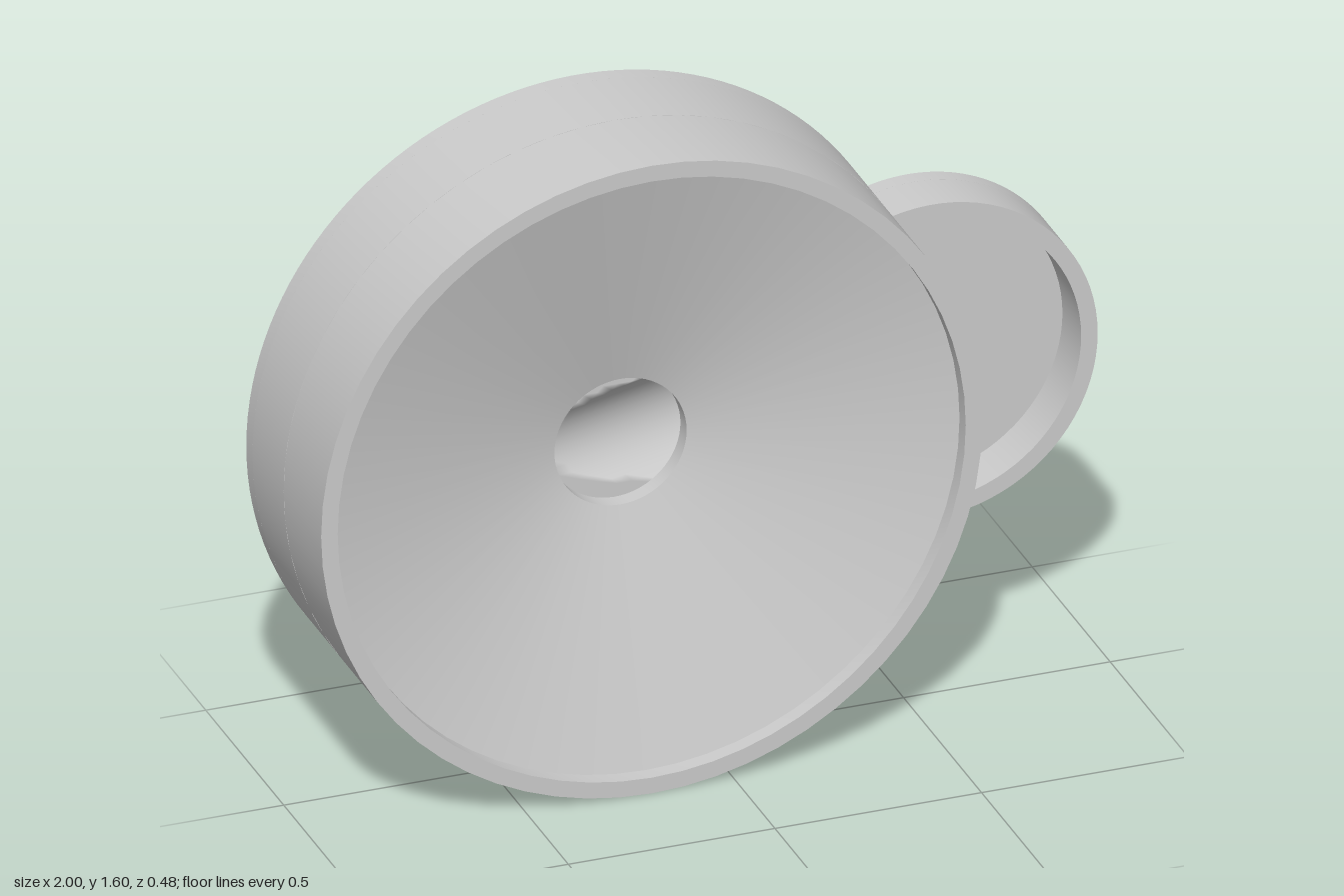
import * as THREE from 'three';
import { toCreasedNormals } from 'three/addons/utils/BufferGeometryUtils.js';
import { ParametricGeometry } from 'three/addons/geometries/ParametricGeometry.js';

const CY = 0.8;                       // height of all the centres
const BOWL = { x: -0.2, r: 0.8 };     // big round body
const TRAY = { x: 0.6, r: 0.4 };      // small round tray
const CAVITY = 0.36;                  // inner radius of the tray
const HOLE = 0.16;                    // radius of the funnel outlet

export function createModel() {
  const group = new THREE.Group();
  const grey = new THREE.MeshStandardMaterial({ color: 0xcccccc });
  const greyDouble = new THREE.MeshStandardMaterial({ color: 0xcccccc, side: THREE.DoubleSide });

  const add = (name, geometry, material = grey) => {
    const mesh = new THREE.Mesh(geometry, material);
    mesh.name = name;
    group.add(mesh);
  };
  const slab = (name, shape, z0, z1, curveSegments) => {
    const g = new THREE.ExtrudeGeometry(shape, { depth: z1 - z0, bevelEnabled: false, curveSegments });
    add(name, toCreasedNormals(g.translate(0, 0, z0), 0.5));
  };
  // Angles, seen from each centre, at which a tray circle of radius r crosses the bowl
  const crossing = (r) => {
    const d = TRAY.x - BOWL.x;
    const along = (d * d + BOWL.r ** 2 - r * r) / (2 * d);
    return { bowl: Math.acos(along / BOWL.r), tray: Math.acos((along - d) / r) };
  };
  const outer = crossing(TRAY.r);
  const inner = crossing(CAVITY);

  // Back plate: joined outline of bowl and tray
  const plate = new THREE.Shape();
  plate.absarc(BOWL.x, CY, BOWL.r, outer.bowl, 2 * Math.PI - outer.bowl, false);
  plate.absarc(TRAY.x, CY, TRAY.r, -outer.tray, outer.tray, false);
  slab('backPlate', plate, -0.24, -0.2, 56);

  // Lower body: disc with the tray cavity and the outlet channel cut out
  const mouth = Math.asin(HOLE / CAVITY);
  const body = new THREE.Shape();
  body.absarc(BOWL.x, CY, BOWL.r, inner.bowl, 2 * Math.PI - inner.bowl, false);
  body.absarc(TRAY.x, CY, CAVITY, 2 * Math.PI - inner.tray, Math.PI + mouth, true);
  body.absarc(BOWL.x, CY, HOLE, -Math.PI / 2, Math.PI / 2, true);
  body.absarc(TRAY.x, CY, CAVITY, Math.PI - mouth, inner.tray, true);
  slab('lowerBody', body, -0.2, 0, 56);

  // Raised rim around the tray
  const rim = new THREE.Shape();
  rim.absarc(TRAY.x, CY, TRAY.r, -outer.tray, outer.tray, false);
  rim.absarc(TRAY.x, CY, CAVITY, inner.tray, -inner.tray, true);
  slab('trayRim', rim, -0.2, -0.08, 24);

  // Funnel: rim, short inner wall, cone and outlet lip
  const profile = [
    [HOLE, 0], [0.8, 0], [0.8, 0.24], [0.76, 0.24], [0.76, 0.2], [HOLE, 0.04], [HOLE, 0],
  ].map(([r, z]) => new THREE.Vector2(r, z));
  const funnel = new THREE.LatheGeometry(profile, 64);
  funnel.rotateX(Math.PI / 2).translate(BOWL.x, CY, 0);
  add('funnel', toCreasedNormals(funnel, 0.2));

  // Rounded chute sloping from the outlet down into the tray
  const chute = new ParametricGeometry((u, v, target) => {
    const t = (v - 0.5) * Math.PI;
    const y = HOLE * Math.sin(t);
    const start = BOWL.x - HOLE * Math.cos(t);
    const end = TRAY.x - Math.sqrt(CAVITY ** 2 - y * y);
    const x = THREE.MathUtils.lerp(start, end, u);
    const floor = Math.max(-0.199, -0.01 - 0.317 * (x + 0.36));
    target.set(x, CY + y, Math.min(0, floor + 0.2 * (1 - Math.cos(t))));
  }, 16, 24);
  add('chute', chute, greyDouble);

  return group;
}
